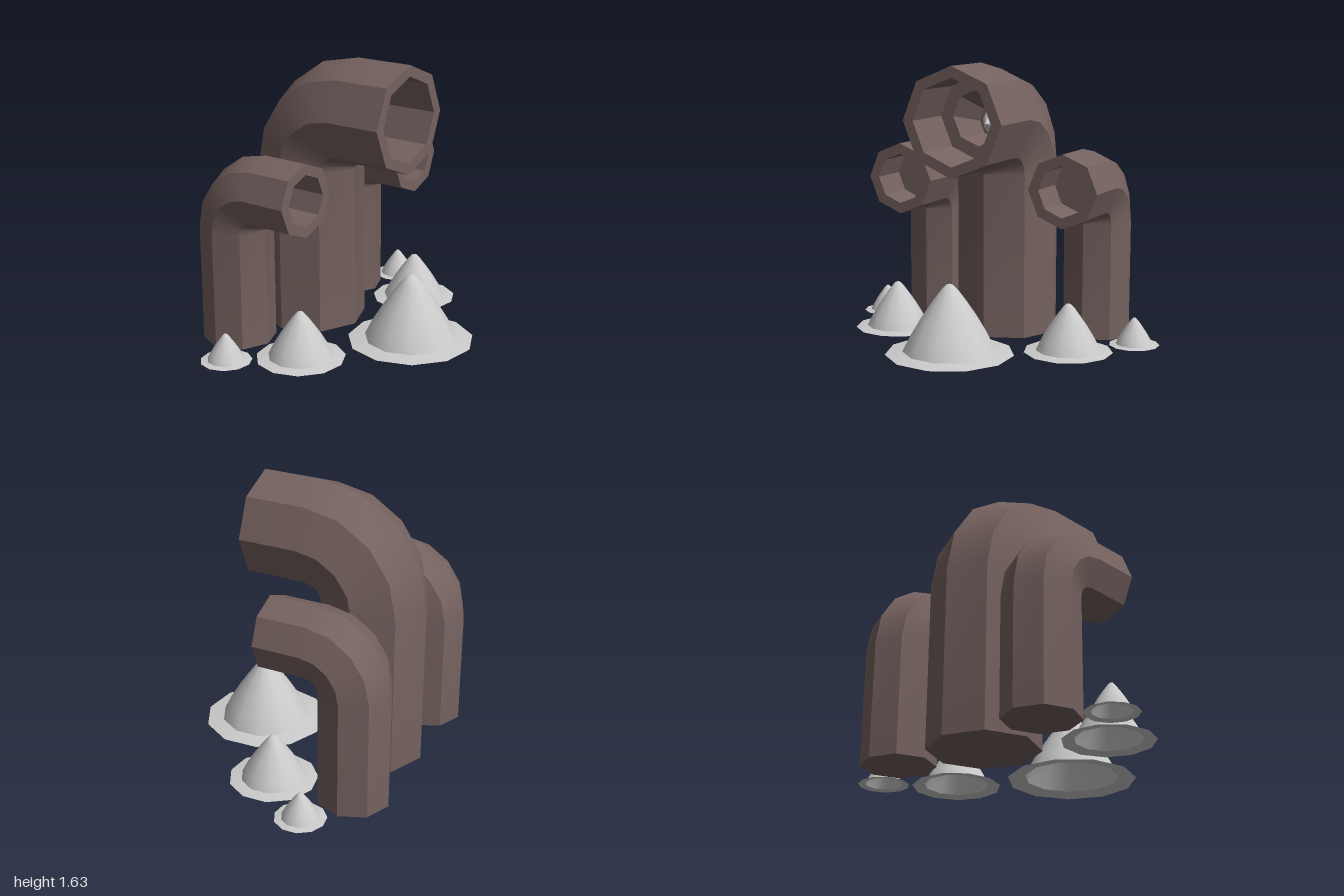
import * as THREE from 'three';
import { toCreasedNormals } from 'three/addons/utils/BufferGeometryUtils.js';

const SIDES = 8;
const brown = new THREE.MeshStandardMaterial({ color: 0x75625f });
const grey = new THREE.MeshStandardMaterial({ color: 0xcccccc, side: THREE.DoubleSide });

// Octagonal ring; angle 0 faces up, PI/2 faces forward
function ring(y, z, angle, r) {
  const points = [];
  for (let i = 0; i <= SIDES; i++) {
    const t = (i / SIDES) * Math.PI * 2;
    const out = r * Math.cos(t);
    points.push([r * Math.sin(t), y + out * Math.sin(angle), z - out * Math.cos(angle)]);
  }
  return { points, r };
}

// Skin between successive rings; a ring of radius 0 closes the end
function loft(rings) {
  const pos = [];
  for (let k = 0; k < rings.length - 1; k++) {
    const a = rings[k], b = rings[k + 1];
    for (let i = 0; i < SIDES; i++) {
      if (a.r > 0) pos.push(...a.points[i], ...b.points[i], ...a.points[i + 1]);
      if (b.r > 0) pos.push(...a.points[i + 1], ...b.points[i], ...b.points[i + 1]);
    }
  }
  const geo = new THREE.BufferGeometry();
  geo.setAttribute('position', new THREE.Float32BufferAttribute(pos, 3));
  return toCreasedNormals(geo, Math.PI / 6);
}

// Upright pipe bent forward by a quarter turn, with a bored mouth
function pipe({ r, bendY, bendZ, bendR, mouthZ, bore, boreEnd, innerHole }) {
  const front = Math.PI / 2;
  const mouthY = bendY + bendR;
  const rings = [ring(0, bendZ - bendR, 0, 0), ring(0, bendZ - bendR, 0, r)];
  for (let i = 0; i <= 4; i++) {
    const a = (i / 4) * front;
    rings.push(ring(bendY + bendR * Math.sin(a), bendZ - bendR * Math.cos(a), a, r));
  }
  rings.push(ring(mouthY, mouthZ, front, r), ring(mouthY, mouthZ, front, bore), ring(mouthY, boreEnd, front, bore));
  if (innerHole) {
    rings.push(ring(mouthY, boreEnd, front, 0.167));
    rings.push(ring(mouthY - 0.04, -0.2, front, 0.1), ring(mouthY - 0.04, -0.2, front, 0));
  } else {
    rings.push(ring(mouthY, boreEnd, front, 0));
  }
  return loft(rings);
}

// Hollow rounded cone with a thin flange at its foot
function spikeGeometry() {
  const profile = [[0.37, 0.01], [0.27, 0.025], [0.225, 0.115], [0.165, 0.215], [0.11, 0.295],
    [0.055, 0.37], [0.022, 0.405], [0, 0.413]].map(([x, y]) => new THREE.Vector2(x, y));
  return toCreasedNormals(new THREE.LatheGeometry(profile, 11, 0.187), 0.7);
}

export function createModel() {
  const model = new THREE.Group();
  const add = (name, geo, mat, x, y, z) => {
    const mesh = new THREE.Mesh(geo, mat);
    mesh.name = name;
    mesh.position.set(x, y, z);
    model.add(mesh);
    return mesh;
  };

  // Main pipe with a small point deep in its bore
  add('mainPipe', pipe({ r: 0.315, bendY: 0.975, bendZ: -0.03, bendR: 0.345, mouthZ: 0.32,
    bore: 0.25, boreEnd: 0, innerHole: true }), brown, 0, 0, 0);
  const point = add('borePoint', new THREE.ConeGeometry(0.09, 0.14, 11),
    new THREE.MeshStandardMaterial({ color: 0xcccccc, flatShading: true }), 0.01, 1.28, -0.13);
  point.rotation.x = Math.PI / 2;

  // Side pipes
  const sideGeo = pipe({ r: 0.213, bendY: 0.695, bendZ: -0.275, bendR: 0.233, mouthZ: 0.005,
    bore: 0.15, boreEnd: -0.22 });
  add('leftPipe', sideGeo, brown, 0.535, 0, 0);
  add('rightPipe', sideGeo, brown, -0.535, 0, 0);

  // Ground spikes, shrinking outwards
  const spikeGeo = spikeGeometry();
  const spike = (name, x, z, scale) => add(name, spikeGeo, grey, x, 0, z).scale.setScalar(scale);
  spike('frontSpike', 0, 0.345, 1);
  for (const [side, s] of [['left', 1], ['right', -1]]) {
    spike(side + 'MiddleSpike', s * 0.573, -0.018, 0.695);
    spike(side + 'OuterSpike', s * 0.851, -0.335, 0.4);
  }
  return model;
}
